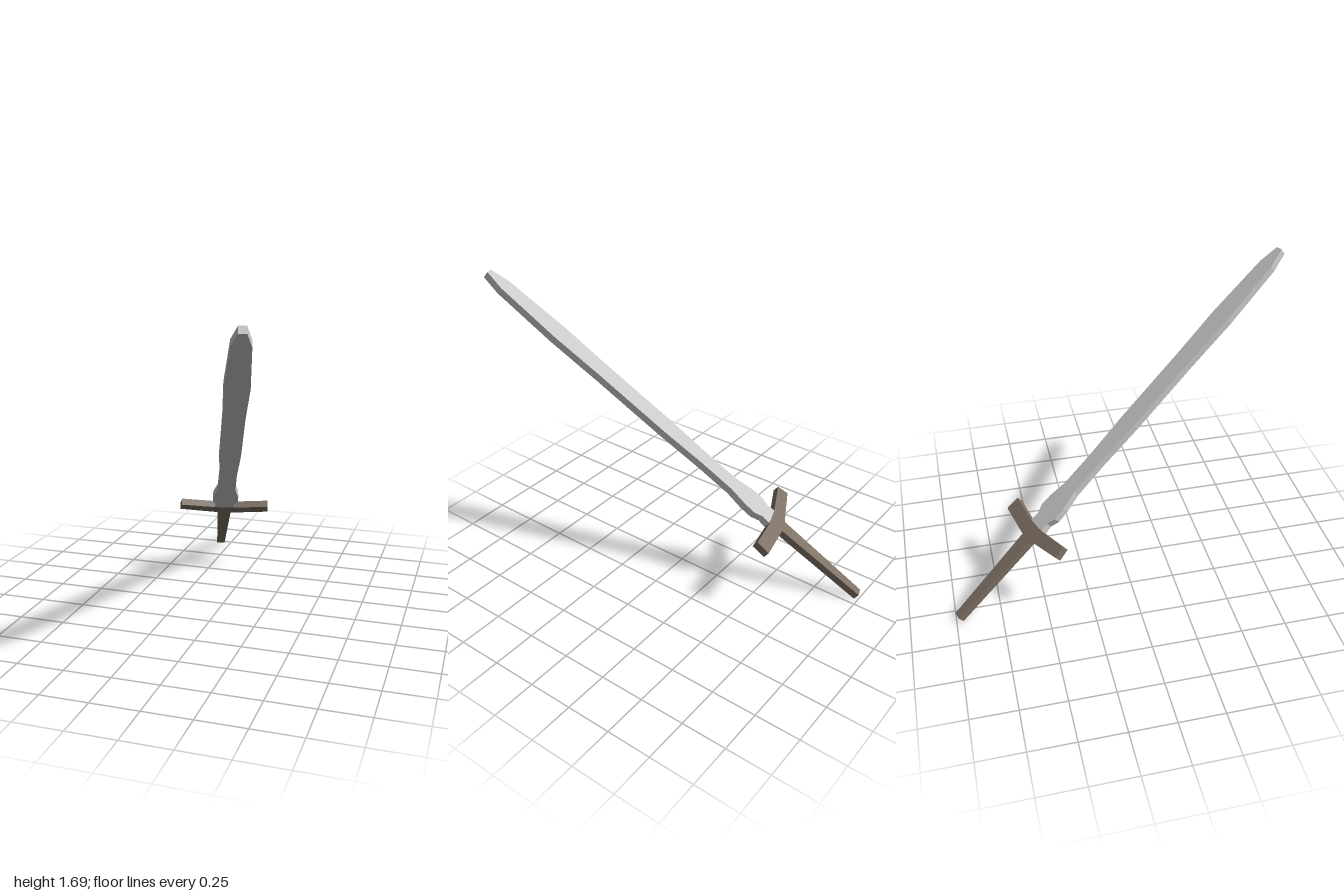
import * as THREE from 'three';

const THICKNESS = 0.04;
const CENTRE = -0.012; // blade centreline across the sword

const steel = new THREE.MeshStandardMaterial({ color: 0xc8c8c8, flatShading: true });
steel.name = 'steel';
const wood = new THREE.MeshStandardMaterial({ color: 0x7d7064, flatShading: true });
wood.name = 'wood';

// Flat plate cut from an outline
function plate(name, points, material) {
  const shape = new THREE.Shape(points.map(([x, y]) => new THREE.Vector2(x, y)));
  const geometry = new THREE.ExtrudeGeometry(shape, { depth: THICKNESS, bevelEnabled: false });
  const mesh = new THREE.Mesh(geometry, material);
  mesh.name = name;
  return mesh;
}

export function createModel() {
  const model = new THREE.Group();
  model.name = 'sword';
  const sword = new THREE.Group();
  sword.name = 'tiltedSword';
  model.add(sword);

  // Blade: half width at each station, mirrored about the centreline
  const stations = [
    [0.06, -0.14], [0.053, -0.09], [0.076, -0.04], [0.073, 0.03], [0.051, 0.14],
    [0.049, 0.35], [0.058, 0.62], [0.057, 1.07], [0.063, 1.38], [0.047, 1.755], [0.019, 1.865],
  ];
  const near = stations.map(([w, v]) => [CENTRE - w, v]);
  const far = stations.map(([w, v]) => [CENTRE + w, v]).reverse();
  sword.add(plate('blade', [...near, ...far], steel));

  // Swept guard, slightly higher on one side
  sword.add(plate('guard', [
    [-0.05, -0.228], [0.031, -0.222], [0.258, -0.174], [0.247, -0.105],
    [0.05, -0.138], [-0.071, -0.142], [-0.27, -0.119], [-0.277, -0.202],
  ], wood));

  // Handle, narrowing to the pommel
  sword.add(plate('handle', [
    [-0.034, -0.8], [0.015, -0.8], [0.031, -0.222], [-0.05, -0.228],
  ], wood));

  // Lean the sword: across, along the blade and out of its upper face
  const along = new THREE.Vector3(0.264, 0.621, 0.738).normalize();
  const across = along.clone().cross(new THREE.Vector3(-0.181, 0.785, -0.594)).normalize();
  const out = across.clone().cross(along);
  sword.quaternion.setFromRotationMatrix(new THREE.Matrix4().makeBasis(across, along, out));
  sword.position.copy(out).multiplyScalar(0.673 - THICKNESS);

  // Stand on the ground, centred
  model.updateMatrixWorld(true);
  const box = new THREE.Box3().setFromObject(model, true);
  const centre = box.getCenter(new THREE.Vector3());
  sword.position.sub(new THREE.Vector3(centre.x, box.min.y, centre.z));
  return model;
}
